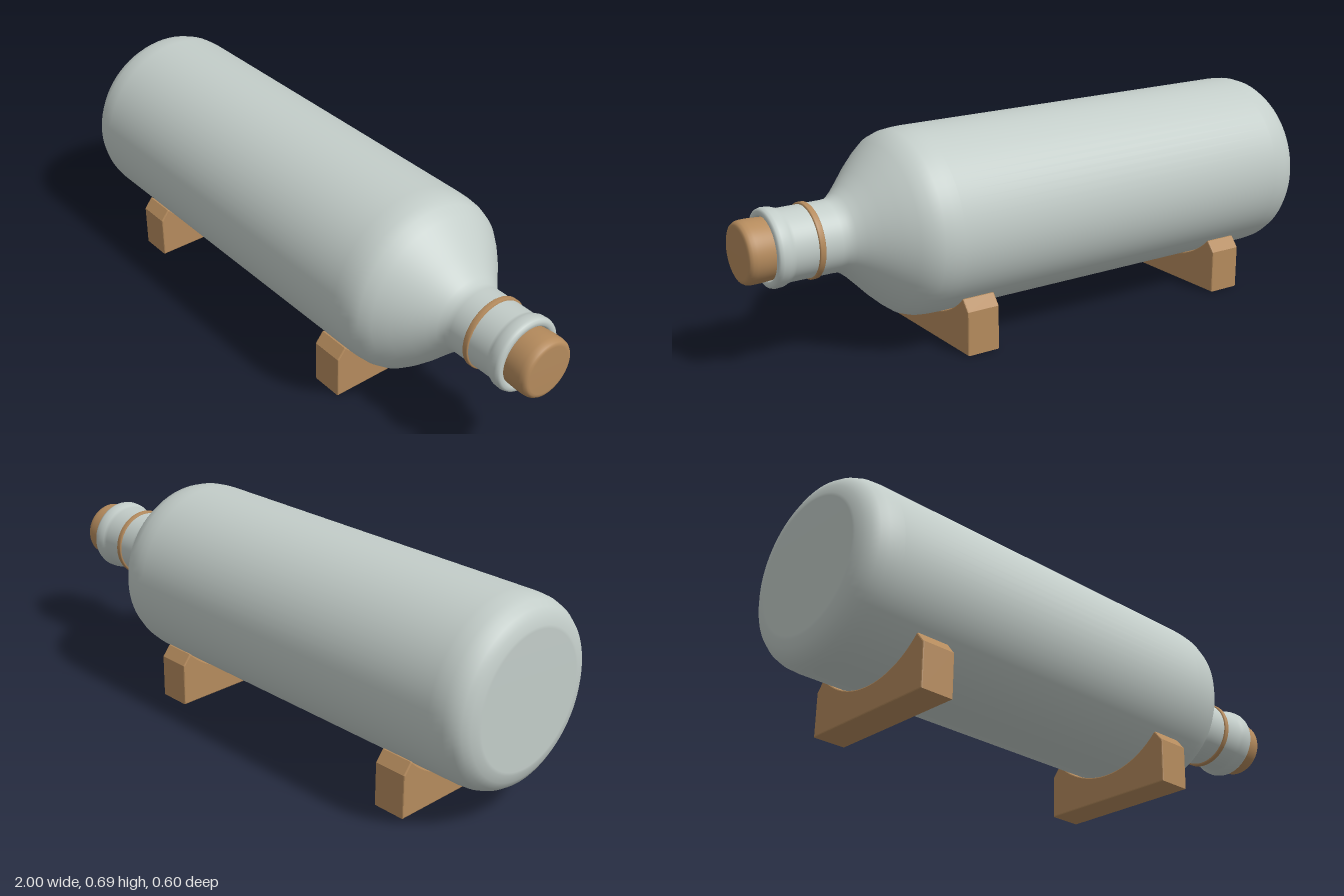
import * as THREE from 'three';

const AXIS_Y = 0.39; // height of the bottle's axis

export function createModel() {
  const model = new THREE.Group();
  model.name = 'bottleOnStand';
  const glass = new THREE.MeshStandardMaterial({ color: 0xc3cdc9 });
  glass.name = 'pale grey green';
  const wood = new THREE.MeshStandardMaterial({ color: 0xb58b5d });
  wood.name = 'cork brown';

  // Solid of revolution lying along x, from [x, radius] pairs
  function turned(name, profile, material) {
    const geo = new THREE.LatheGeometry(profile.map(([x, r]) => new THREE.Vector2(r, x)), 72);
    geo.rotateZ(-Math.PI / 2);
    const mesh = new THREE.Mesh(geo, material);
    mesh.name = name;
    mesh.position.y = AXIS_Y;
    model.add(mesh);
  }

  // Bottle: flat base, rounded heel, straight wall, shoulder, neck and lip
  turned('bottle', [
    [-1, 0], [-1, 0.215], [-0.999, 0.225], [-0.992, 0.25], [-0.978, 0.273], [-0.957, 0.288],
    [-0.93, 0.297], [-0.895, 0.3], [-0.88, 0.3], [0.4, 0.3], [0.43, 0.299], [0.465, 0.295],
    [0.498, 0.284], [0.53, 0.26], [0.57, 0.224], [0.61, 0.183], [0.645, 0.148], [0.67, 0.127],
    [0.69, 0.115], [0.71, 0.113], [0.86, 0.113], [0.872, 0.117], [0.885, 0.122], [0.905, 0.123],
    [0.915, 0.12], [0.92, 0.113], [0.92, 0.102], [0.915, 0.097], [0.89, 0.096],
  ], glass);

  // Band round the neck
  turned('neckBand', [
    [0.769, 0.11], [0.769, 0.116], [0.772, 0.119], [0.786, 0.119], [0.789, 0.116], [0.789, 0.11],
  ], wood);

  // Stopper with a softened rim
  turned('cork', [
    [0.89, 0.094], [0.92, 0.096], [0.95, 0.098], [0.975, 0.098], [0.988, 0.096],
    [0.996, 0.091], [0.999, 0.085], [1, 0.078], [1, 0],
  ], wood);

  // Cradle outline: block with chamfered shoulders and a round seat
  const seatR = 0.302, topY = 0.18;
  const a = Math.asin((topY - AXIS_Y) / seatR);
  const outline = new THREE.Shape();
  outline.moveTo(-0.25, 0);
  outline.lineTo(0.25, 0);
  outline.lineTo(0.25, 0.145);
  outline.lineTo(0.222, topY);
  outline.absarc(0, AXIS_Y, seatR, a, -Math.PI - a, true);
  outline.lineTo(-0.222, topY);
  outline.lineTo(-0.25, 0.145);
  outline.closePath();

  const width = 0.115, bevel = 0.004;
  const cradleGeo = new THREE.ExtrudeGeometry(outline, {
    depth: width - 2 * bevel, curveSegments: 32,
    bevelEnabled: true, bevelThickness: bevel, bevelSize: bevel, bevelOffset: -bevel, bevelSegments: 2,
  });
  cradleGeo.translate(0, 0, bevel - width / 2);
  cradleGeo.rotateY(Math.PI / 2);

  for (const [name, x] of [['baseCradle', -0.703], ['shoulderCradle', 0.307]]) {
    const cradle = new THREE.Mesh(cradleGeo, wood);
    cradle.name = name;
    cradle.position.x = x;
    model.add(cradle);
  }
  return model;
}
